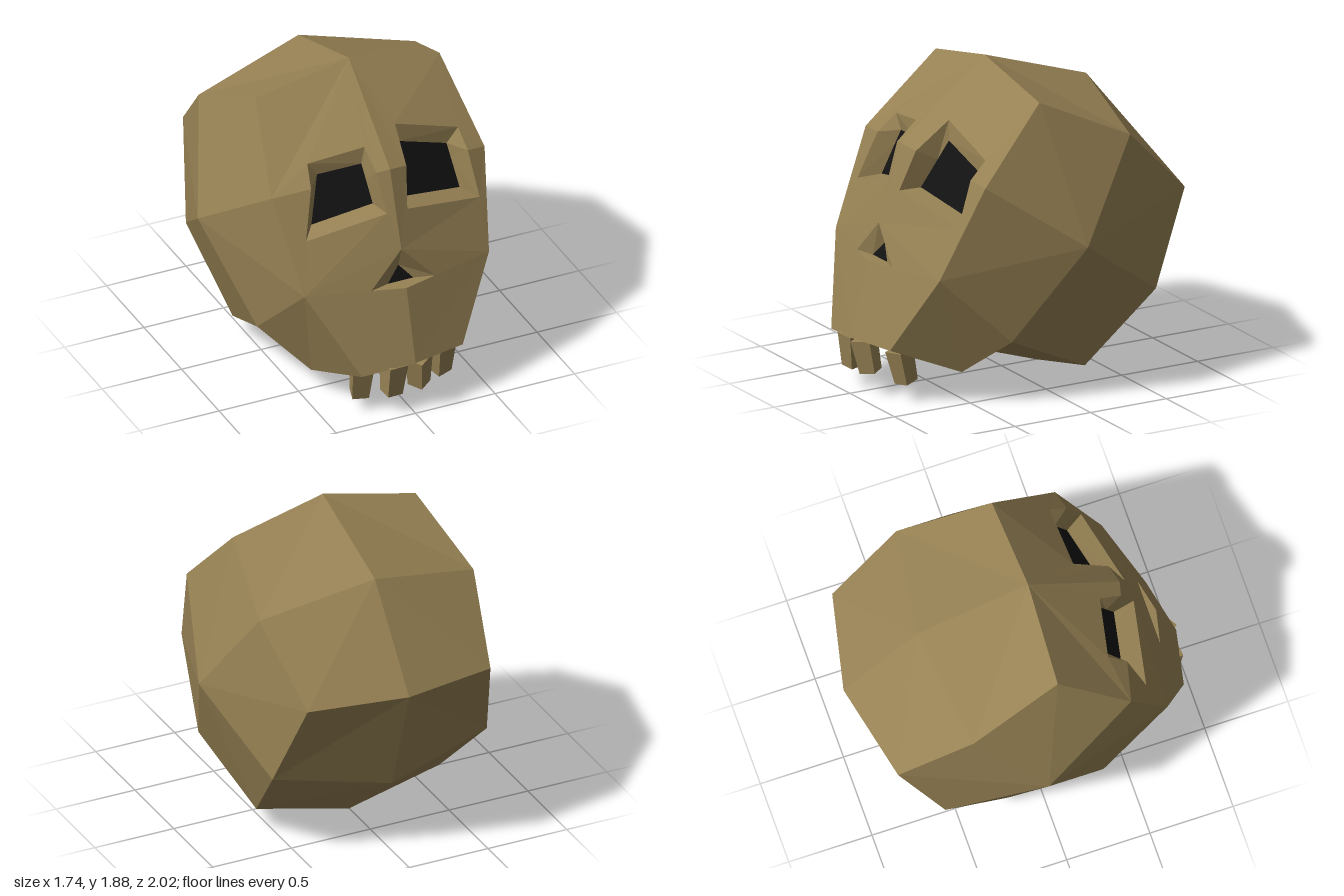
import * as THREE from 'three';

const V = (x, y, z) => new THREE.Vector3(x, y, z);
const CENTRE = V(0, 0.94, -0.06);

// Outline of the head in [x = 0 ridge, side edge] pairs of z, y; side x alternates 0.58 / 0.68
const RING = [
  { ridge: [0.11, 1.88], side: [0.09, 1.75], x: 0.58 }, // crown front
  { ridge: [-0.56, 1.66], side: [-0.45, 1.50], x: 0.68 },
  { ridge: [-1.00, 1.11], side: [-0.87, 1.09], x: 0.58 }, // back
  { ridge: [-0.78, 0.44], side: [-0.62, 0.55], x: 0.68 },
  { ridge: [-0.23, 0.00], side: [-0.21, 0.13], x: 0.58 }, // base
  { ridge: [0.44, 0.22], side: [0.33, 0.385], x: 0.68 }, // under the cheek
  { ridge: [0.88, 0.77], side: [0.75, 0.79], x: 0.58 }, // cheek
  { ridge: [0.66, 1.44], side: [0.50, 1.33], x: 0.67 }, // brow
];
const ridge = i => V(0, RING[i].ridge[1], RING[i].ridge[0]);
const side = (i, s) => V(s * RING[i].x, RING[i].side[1], RING[i].side[0]);

function meshOf(triangles, material, name) {
  const geo = new THREE.BufferGeometry().setFromPoints(triangles.flat());
  geo.computeVertexNormals();
  const mesh = new THREE.Mesh(geo, material);
  mesh.name = name;
  return mesh;
}

// Fan of triangles, each turned away from the head's centre
function fan(points) {
  const out = [];
  for (let i = 1; i < points.length - 1; i++) {
    const [a, b, c] = [points[0], points[i], points[i + 1]];
    const n = b.clone().sub(a).cross(c.clone().sub(a));
    const mid = a.clone().add(b).add(c).divideScalar(3).sub(CENTRE);
    out.push(n.dot(mid) < 0 ? [a, c, b] : [a, b, c]);
  }
  return out;
}

// Concave face panel, triangulated in x/y and turned to the front
function panel(points) {
  const flat = points.map(p => new THREE.Vector2(p.x, p.y));
  return THREE.ShapeUtils.triangulateShape(flat, []).map(t => {
    const [a, b, c] = t.map(i => points[i]);
    const area = (b.x - a.x) * (c.y - a.y) - (b.y - a.y) * (c.x - a.x);
    return area < 0 ? [a, c, b] : [a, b, c];
  });
}

// Walls of a recess between two matching rings
function walls(outer, inner) {
  return outer.flatMap((p, i) => {
    const j = (i + 1) % outer.length;
    return [[p, inner[j], inner[i]], [p, outer[j], inner[j]]];
  });
}

// Point on the face at x, y
const browY = x => 1.44 - 0.164 * Math.abs(x);
function onFace(x, y, depth = 0) {
  const s = x < 0 ? -1 : 1;
  const [hi, lo] = y > browY(x) ? [0, 7] : [7, 6];
  let t = 0.5, p, q, k;
  for (let n = 0; n < 12; n++) {
    p = ridge(hi).lerp(side(hi, s), t);
    q = ridge(lo).lerp(side(lo, s), t);
    k = (p.y - y) / (p.y - q.y);
    t = Math.abs(x) / THREE.MathUtils.lerp(RING[hi].x, RING[lo].x, k);
  }
  return V(x, y, THREE.MathUtils.lerp(p.z, q.z, k) - depth);
}

// Point where an eye edge crosses the brow line
function browCross(a, b) {
  const da = a.y - browY(a.x), db = b.y - browY(b.x), f = da / (da - db);
  const x = THREE.MathUtils.lerp(a.x, b.x, f);
  return V(x, browY(x), 0.66 - 0.239 * Math.abs(x));
}

// Eye corners: top inside, bottom inside, bottom outside, top outside
const EYES = [
  { s: 1, rim: [[0.14, 1.58], [0.08, 1.19], [0.58, 1.085], [0.54, 1.45]],
    floor: [[0.16, 1.465], [0.105, 1.195], [0.505, 1.11], [0.465, 1.365]] },
  { s: -1, rim: [[-0.09, 1.53], [-0.05, 1.195], [-0.52, 1.085], [-0.42, 1.47]],
    floor: [[-0.11, 1.425], [-0.08, 1.2], [-0.435, 1.115], [-0.36, 1.385]] },
];

export function createModel() {
  const group = new THREE.Group();
  const bone = new THREE.MeshStandardMaterial({ color: 0x978254, flatShading: true, side: THREE.DoubleSide });
  const dark = new THREE.MeshStandardMaterial({ color: 0x131314, flatShading: true, side: THREE.DoubleSide });

  const head = [], face = [], jaw = [];
  const noseTop = V(0, 0.99, 0.81);
  const noseSide = s => V(s * 0.2, 0.777, 0.835);
  const jawTip = V(0, 0.335, 1.0);
  const jawFront = { 1: V(0.33, 0.335, 0.93), '-1': V(-0.31, 0.29, 0.94) };
  const jawBack = { 1: V(0.49, 0.19, 0.55), '-1': V(-0.44, 0.15, 0.54) };
  const jawMid = jawBack[1].clone().lerp(jawBack[-1], 0.5);

  for (const { s, rim, floor } of EYES) {
    // Cranium: strip of ridge quads, and the side fan around the temple
    for (let i = 0; i < 5; i++) head.push(...fan([ridge(i), side(i, s), side(i + 1, s), ridge(i + 1)]));
    const temple = V(s * 0.87, 0.94, -0.06);
    for (let i = 0; i < 8; i += 2) {
      head.push(...fan([temple, side((i + 7) % 8, s), side(i, s), side(i + 1, s)]));
    }

    // Face panels notched around the eye and nose
    const [ti, bi, bo, to] = rim.map(([x, y]) => onFace(x, y));
    const ci = browCross(ti, bi), co = browCross(to, bo);
    face.push(...panel([ridge(0), side(0, s), side(7, s), co, to, ti, ci, ridge(7)]));
    face.push(...panel([ridge(7), ci, bi, bo, co, side(7, s), side(6, s), noseSide(s), noseTop]));

    // Eye socket
    const [fti, fbi, fbo, fto] = floor.map(([x, y]) => onFace(x, y, 0.12));
    const inner = [fti, fti.clone().lerp(fbi, 0.4), fbi, fbo, fto.clone().lerp(fbo, 0.3), fto];
    const label = s > 0 ? 'left' : 'right';
    group.add(meshOf(walls([ti, ci, bi, bo, co, to], inner), bone, label + 'EyeSocket'));
    group.add(meshOf(fan([fti, fbi, fbo, fto]), dark, label + 'EyeHollow'));

    // Upper jaw: front, cheek side and rear wall
    jaw.push(...fan([jawTip, ridge(6), noseSide(s), side(6, s), jawFront[s]]));
    jaw.push(...fan([side(6, s), side(5, s), jawBack[s], jawFront[s]]));
    jaw.push(...fan([ridge(5), side(5, s), jawBack[s], jawMid]));
  }
  group.add(meshOf(head, bone, 'cranium'));
  group.add(meshOf(face, bone, 'face'));
  group.add(meshOf(jaw, bone, 'upperJaw'));
  group.add(meshOf(fan([jawTip, jawFront[1], jawBack[1], jawMid, jawBack[-1], jawFront[-1]]), dark, 'mouthHollow'));

  // Nose cavity
  const noseRim = [noseTop, noseSide(-1), ridge(6), noseSide(1)];
  const noseFloor = [V(0, 0.865, 0.77), V(-0.08, 0.775, 0.80), V(0, 0.775, 0.80), V(0.08, 0.775, 0.80)];
  group.add(meshOf(walls(noseRim, noseFloor), bone, 'noseCavity'));
  group.add(meshOf(fan(noseFloor), dark, 'noseHollow'));

  // Four crooked teeth: x, y, z, turn, lean, roll
  const TEETH = [
    [-0.262, 0.19, 0.82, -0.25, 0.2, 0.02],
    [-0.105, 0.225, 0.92, 0.1, 0.1, -0.06],
    [0.06, 0.235, 0.92, 0.6, 0.12, 0.1],
    [0.253, 0.205, 0.80, 0.3, 0.2, 0.04],
  ];
  TEETH.forEach(([x, y, z, turn, lean, roll], i) => {
    const geo = new THREE.BoxGeometry(0.12, 0.2, 0.11);
    const pos = geo.attributes.position;
    for (let k = 0; k < pos.count; k++) {
      if (pos.getY(k) < 0) pos.setXYZ(k, pos.getX(k) * 0.8, pos.getY(k), pos.getZ(k) * 0.85);
    }
    geo.computeVertexNormals();
    const tooth = new THREE.Mesh(geo, bone);
    tooth.name = 'tooth' + (i + 1);
    tooth.position.set(x, y, z);
    tooth.rotation.set(lean, turn, roll);
    group.add(tooth);
  });

  return group;
}
